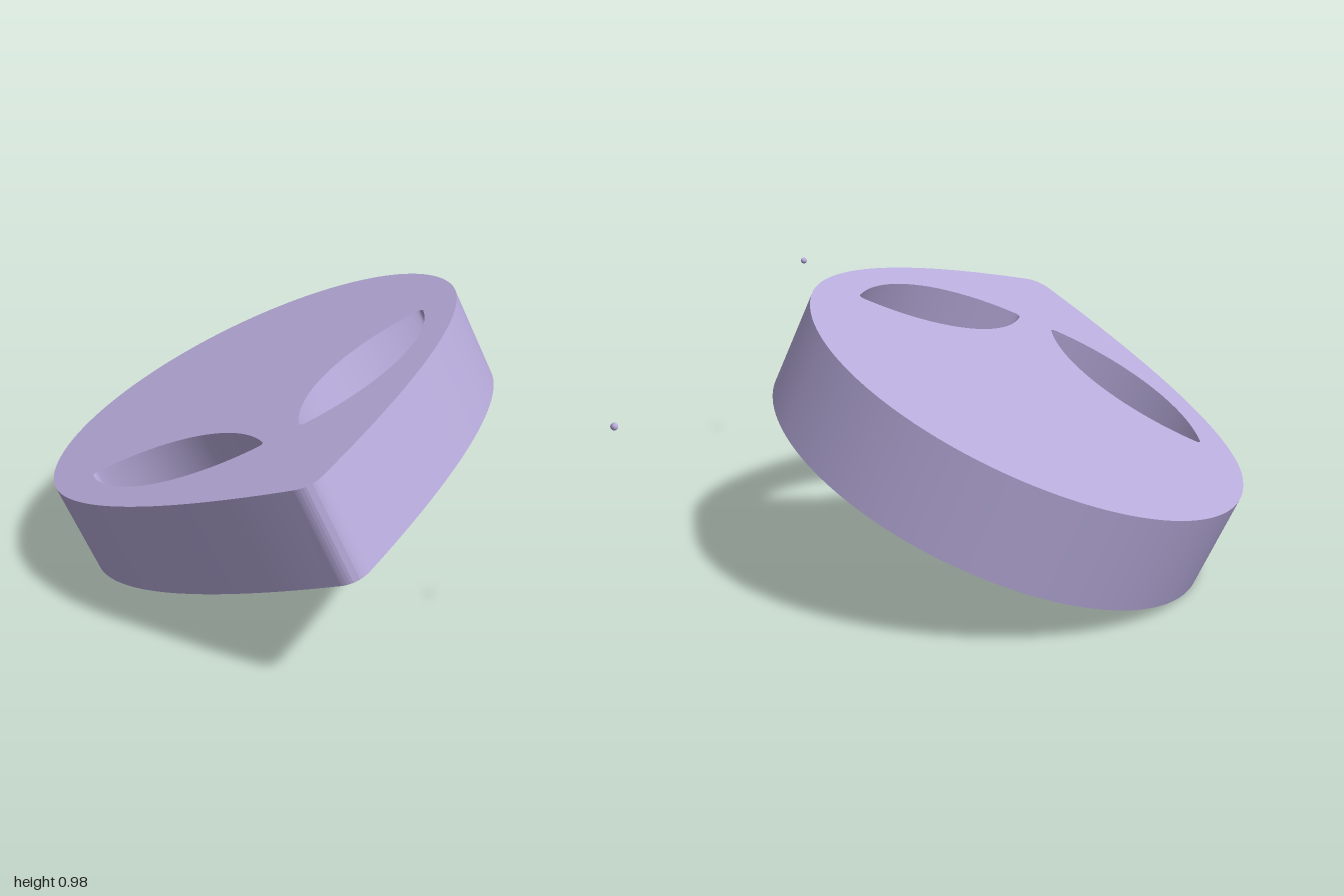
import * as THREE from 'three';
import { toCreasedNormals } from 'three/addons/utils/BufferGeometryUtils.js';

const THICKNESS = 0.345;

// Almond eye hole: two shallow arcs with slightly rounded corners; side is 1 or -1
function eyeHole(side) {
  const half = 0.396, bulge = 0.155;
  const radius = (half * half + bulge * bulge) / (2 * bulge);
  const span = Math.asin(half / radius) - 0.04;
  const centre = new THREE.Vector2(0.358, -0.259);
  const tilt = Math.atan2(0.518, 0.576);
  const place = (x, y) => new THREE.Vector2(
    side * (centre.x + x * Math.cos(tilt) - y * Math.sin(tilt)),
    centre.y + x * Math.sin(tilt) + y * Math.cos(tilt));
  const path = new THREE.Path();
  const points = [];
  const steps = 40;
  for (const s of [1, -1]) {
    for (let i = 0; i <= steps; i++) {
      const a = span * (1 - 2 * i / steps);
      points.push(place(s * radius * Math.sin(a), s * (radius * Math.cos(a) - radius + bulge)));
    }
    // rounded corner
    const from = points[points.length - 1];
    const x = -s * radius * Math.sin(span), y = -s * (radius * Math.cos(span) - radius + bulge);
    const corner = new THREE.QuadraticBezierCurve(from, place(-s * half, 0), place(x, y));
    points.push(...corner.getPoints(6).slice(1, -1));
  }
  path.setFromPoints(points);
  path.closePath();
  return path;
}

export function createModel() {
  const group = new THREE.Group();
  const lavender = new THREE.MeshStandardMaterial({ color: 0xb8acdc });
  lavender.name = 'lavender';

  // Head outline: round crown, tapering cheeks and a small rounded chin
  const outline = new THREE.Shape();
  outline.moveTo(0.8, 0.14);
  outline.absarc(0, 0.14, 0.8, 0, Math.PI, false);
  outline.bezierCurveTo(-0.8, -0.25, -0.42, -0.68, -0.06, -1.0);
  outline.quadraticCurveTo(0, -1.06, 0.06, -1.0);
  outline.bezierCurveTo(0.42, -0.68, 0.8, -0.25, 0.8, 0.14);
  outline.holes.push(eyeHole(1), eyeHole(-1));

  const plate = new THREE.ExtrudeGeometry(outline, { depth: THICKNESS, bevelEnabled: false, curveSegments: 48 });
  plate.translate(0, 0, -THICKNESS);
  const head = new THREE.Mesh(toCreasedNormals(plate, 0.6), lavender);
  head.name = 'head';

  // Tilt the plate: across the face, up to the crown, out of the face
  const across = new THREE.Vector3(0.913, 0.407, 0.046).normalize();
  const out = new THREE.Vector3(-0.398, 0.908, -0.131).normalize();
  const up = new THREE.Vector3().crossVectors(out, across).normalize();
  across.crossVectors(up, out);
  head.quaternion.setFromRotationMatrix(new THREE.Matrix4().makeBasis(across, up, out));
  head.position.set(-0.08, 0.666, -0.07);
  group.add(head);

  // Tiny loose bead beside the chin
  const bead = new THREE.Mesh(new THREE.SphereGeometry(0.012, 24, 16), lavender);
  bead.name = 'bead';
  bead.position.set(0.772, 0.865, 0.977);
  group.add(bead);

  return group;
}
